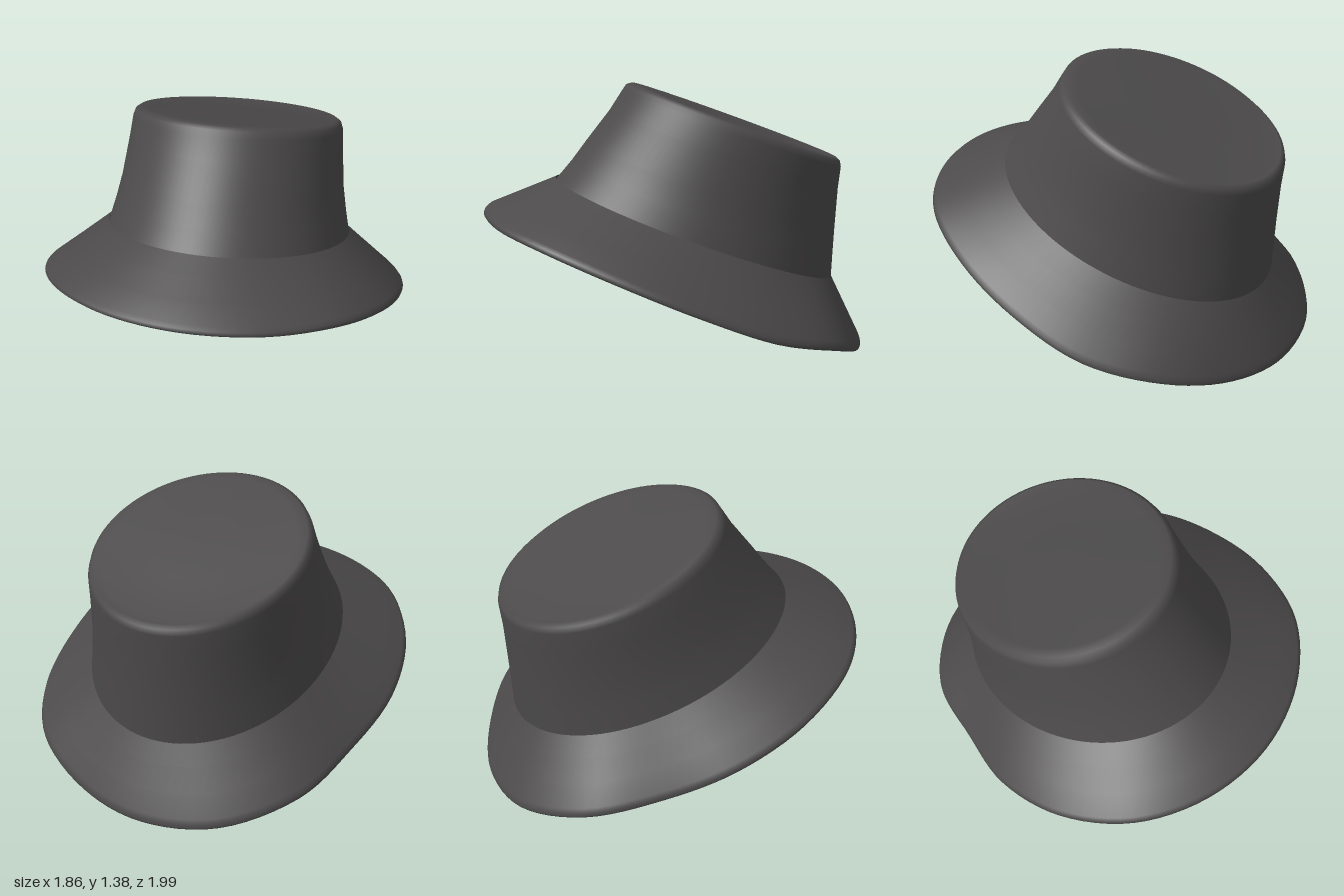
import * as THREE from 'three';

const SEGMENTS = 96;
const material = new THREE.MeshStandardMaterial({ color: 0x4c4a4b, side: THREE.DoubleSide });

// Tilted ellipse given by its front (zf, yf), its back (zb, yb) and half width rx
function ellipse([zf, yf, zb, yb, rx], xc = -0.012) {
  return Array.from({ length: SEGMENTS }, (_, j) => {
    const a = (j / SEGMENTS) * Math.PI * 2;
    const k = (1 + Math.cos(a)) / 2;
    return new THREE.Vector3(
      xc + rx * Math.sin(a),
      THREE.MathUtils.lerp(yb, yf, k),
      THREE.MathUtils.lerp(zb, zf, k)
    );
  });
}

// Skin a list of rings into one smooth surface
function loft(rings, name) {
  const index = [];
  for (let i = 0; i < rings.length - 1; i++) {
    for (let j = 0; j < SEGMENTS; j++) {
      const k = (j + 1) % SEGMENTS;
      const a = i * SEGMENTS + j, b = i * SEGMENTS + k;
      const c = b + SEGMENTS, d = a + SEGMENTS;
      index.push(a, b, c, a, c, d);
    }
  }
  const geometry = new THREE.BufferGeometry().setFromPoints(rings.flat());
  geometry.setIndex(index);
  geometry.computeVertexNormals();
  const mesh = new THREE.Mesh(geometry, material);
  mesh.name = name;
  return mesh;
}

export function createModel() {
  const hat = new THREE.Group();
  hat.name = 'bucketHat';

  // Crown: tapered wall, rounded shoulder and flat sloping top
  const wall = [
    [0.62, 0.9, -0.83, 0.37, 0.635],
    [0.535, 1.0, -0.837, 0.51, 0.605],
    [0.46, 1.1, -0.845, 0.65, 0.58],
    [0.335, 1.26, -0.857, 0.85, 0.558],
    [0.27, 1.36, -0.87, 0.96, 0.547],
    [0.25, 1.39, -0.865, 0.99, 0.536],
    [0.22, 1.398, -0.845, 1.01, 0.515],
    [0.17, 1.385, -0.8, 1.0, 0.47],
    [-0.1, 1.283, -0.53, 1.112, 0.2],
    [-0.315, 1.196, -0.315, 1.196, 0],
  ];
  hat.add(loft(wall.map((r) => ellipse(r)), 'crown'));

  // Lining: the same wall moved inward, running from the top down
  const inset = 0.02;
  const inner = wall.map(([zf, yf, zb, yb, rx], i) => {
    const s = rx > 0 ? inset : 0;
    const drop = i > 4 ? 0.025 : 0.012;
    return ellipse([zf - s, yf - drop, zb + s, yb - drop, Math.max(rx - s, 0)]);
  });
  hat.add(loft(inner.reverse(), 'lining'));

  // Brim edge: wavy outline from radius and height at equal angles, front first
  const radius = [0.99, 0.985, 0.975, 0.94, 0.93, 0.965, 0.99, 0.975,
    0.995, 1.015, 0.985, 0.9, 0.93, 0.965, 0.99, 0.99];
  const height = [0.745, 0.725, 0.67, 0.55, 0.405, 0.26, 0.16, 0.06, 0.025];
  const outline = new THREE.CatmullRomCurve3(radius.map((r, i) => {
    const a = (i / 16) * Math.PI * 2;
    return new THREE.Vector3(r * Math.sin(a), height[i <= 8 ? i : 16 - i], r * Math.cos(a));
  }), true, 'catmullrom', 0.5);
  const edge = Array.from({ length: SEGMENTS }, (_, j) => outline.getPoint(j / SEGMENTS));

  // Brim: out along the underside, around the edge and back over the top
  const base = ellipse([0.618, 0.895, -0.828, 0.365, 0.633]);
  const section = [
    [0, -0.015], [0.3, -0.018], [0.65, -0.02], [0.94, -0.02], [0.985, -0.012],
    [1, 0], [0.985, 0.012], [0.94, 0.02], [0.65, 0.02], [0.3, 0.02], [0, 0.02],
  ];
  const brimRings = section.map(([t, lift]) => base.map((p, j) => {
    const q = p.clone().lerp(edge[j], t);
    q.y += lift;
    return q;
  }));
  hat.add(loft(brimRings, 'brim'));

  return hat;
}
